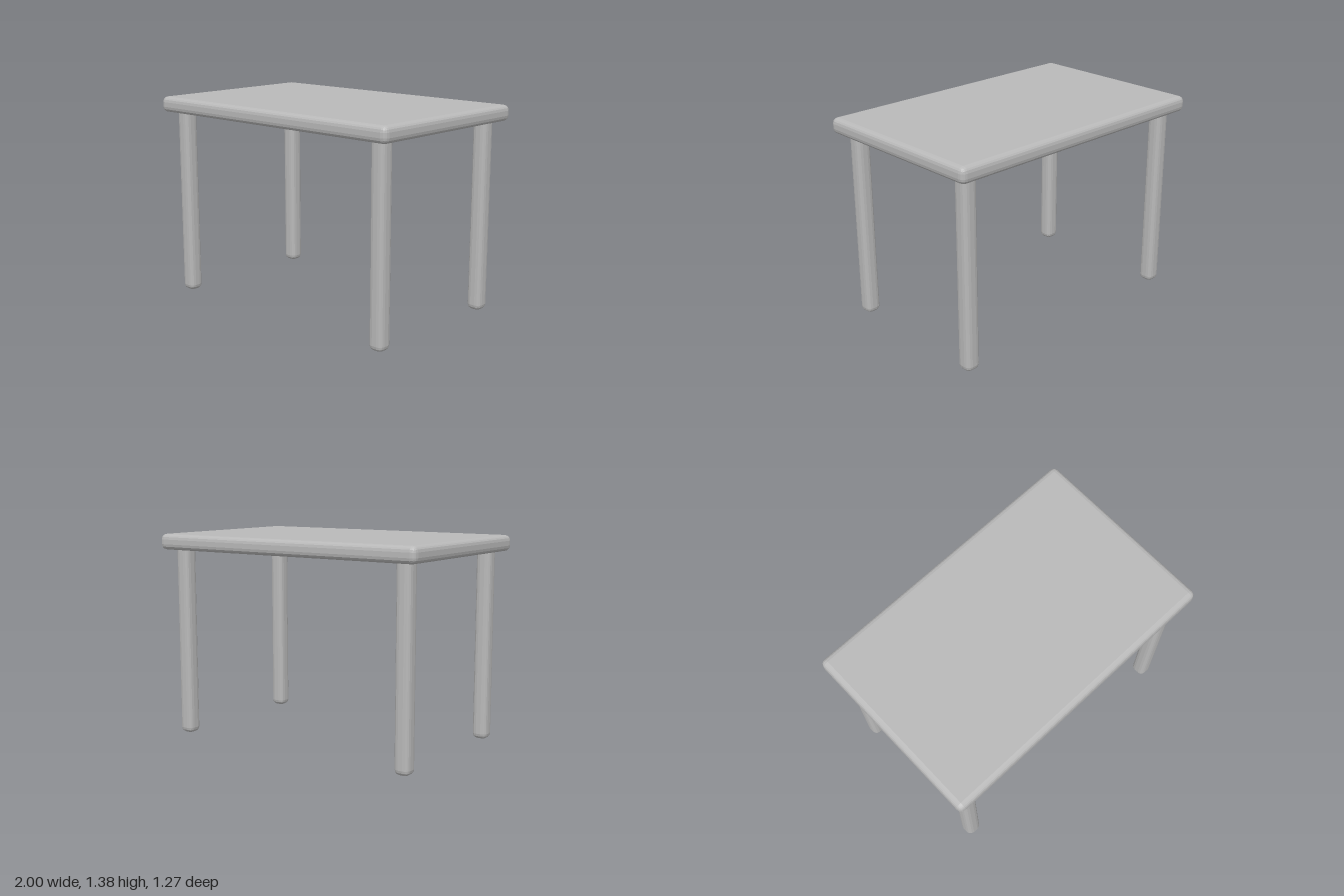
import * as THREE from 'three';
import { RoundedBoxGeometry } from 'three/addons/geometries/RoundedBoxGeometry.js';

const THICKNESS = 0.106;
const HEIGHT = 1.383;
const BEVEL = 0.037;

export function createModel() {
  const table = new THREE.Group();
  table.name = 'table';

  const grey = new THREE.MeshStandardMaterial({ color: 0xb9b9b9, flatShading: true });
  grey.name = 'light grey';

  // Softly bevelled box, placed by its centre
  const addBox = (name, geometry, x, y, z) => {
    const mesh = new THREE.Mesh(geometry, grey);
    mesh.name = name;
    mesh.position.set(x, y, z);
    table.add(mesh);
  };

  // Table top
  const top = new RoundedBoxGeometry(2, THICKNESS, 1.27, 2, BEVEL);
  addBox('tableTop', top, 0, HEIGHT - THICKNESS / 2, 0);

  // Four legs, ending just inside the top
  const legHeight = HEIGHT - THICKNESS / 2;
  const leg = new RoundedBoxGeometry(THICKNESS, legHeight, THICKNESS, 2, BEVEL);
  for (const [side, x] of [['Left', 0.873], ['Right', -0.873]]) {
    for (const [end, z] of [['front', 0.51], ['back', -0.51]]) {
      addBox(`${end}${side}Leg`, leg, x, legHeight / 2, z);
    }
  }

  return table;
}
